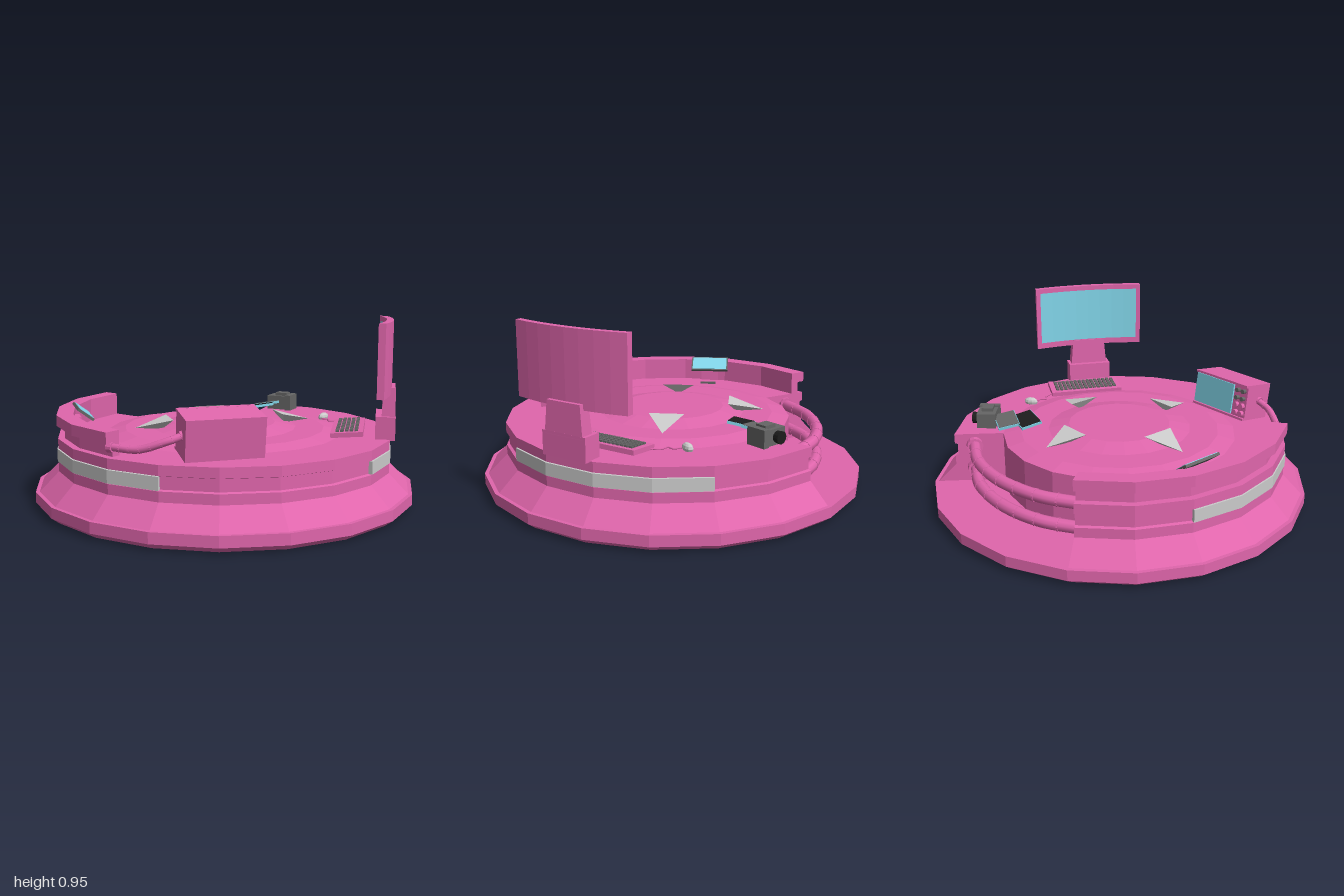
import * as THREE from 'three';
import { mergeGeometries } from 'three/addons/utils/BufferGeometryUtils.js';

const rad = THREE.MathUtils.degToRad;
const V = (x, y, z) => new THREE.Vector3(x, y, z);
const mat = (color, flatShading = true) =>
  new THREE.MeshStandardMaterial({ color, flatShading, side: THREE.DoubleSide });

const PINK = mat(0xe066ac), PINK_SMOOTH = mat(0xe066ac, false), GREY = mat(0xcccccc);
const SCREEN = mat(0x82d6ea), DARK = mat(0x666666), BLACK = mat(0x1c1c1c);

function add(parent, name, geometry, material, x = 0, y = 0, z = 0) {
  const mesh = new THREE.Mesh(geometry, material);
  mesh.name = name;
  mesh.position.set(x, y, z);
  parent.add(mesh);
  return mesh;
}
const box = (parent, name, w, h, d, material, x, y, z) =>
  add(parent, name, new THREE.BoxGeometry(w, h, d), material, x, y, z);

function subgroup(parent, name, x, y, z) {
  const g = new THREE.Group();
  g.name = name;
  g.position.set(x, y, z);
  parent.add(g);
  return g;
}

// Part of a 20-sided ring: closed profile swept from angle start, with end caps
function arcSolid(profile, start, length) {
  const pts = profile.map(p => new THREE.Vector2(...p));
  const sweep = new THREE.LatheGeometry([...pts, pts[0]], length / 18, rad(start), rad(length));
  const cap = a => new THREE.ShapeGeometry(new THREE.Shape(pts)).rotateY(rad(a - 90));
  return mergeGeometries([sweep, cap(start), cap(start + length)]);
}
const rect = (r0, r1, y0, y1) => [[r0, y0], [r1, y0], [r1, y1], [r0, y1]];

// Hose with collars at both ends and thin ribs between
function hose(parent, name, points, radius, ribs) {
  const g = subgroup(parent, name, 0, 0, 0);
  const curve = new THREE.CatmullRomCurve3(points);
  add(g, 'tube', new THREE.TubeGeometry(curve, 32, radius, 10), PINK_SMOOTH);
  for (let i = 0; i <= ribs; i++) {
    const end = i === 0 || i === ribs, t = i / ribs;
    const r = radius * (end ? 1.4 : 1.07);
    const ring = add(g, end ? 'collar' : 'rib',
      new THREE.CylinderGeometry(r, r, end ? radius * 1.6 : 0.008, 12), PINK);
    ring.position.copy(curve.getPointAt(t));
    ring.quaternion.setFromUnitVectors(V(0, 1, 0), curve.getTangentAt(t));
  }
}

// Bends a flat slab so its side edges come forward
function bend(geometry, k) {
  const p = geometry.attributes.position;
  for (let i = 0; i < p.count; i++) p.setZ(i, p.getZ(i) + k * p.getX(i) ** 2);
  geometry.computeVertexNormals();
  return geometry;
}

function buildPlatform(root) {
  const lathe = pts => new THREE.LatheGeometry(pts.map(p => new THREE.Vector2(...p)), 20);
  add(root, 'basePlate', lathe([[0, 0], [0.96, 0], [1, 0.03], [1, 0.085], [0, 0.085]]), PINK);
  add(root, 'steppedFloor', lathe([[0.62, 0.085], [0.62, 0.355], [0.53, 0.375],
    [0.38, 0.375], [0.27, 0.4], [0, 0.4]]), PINK);
  // Desk ring, open at the back
  add(root, 'deskRing', arcSolid([[0.62, 0.085], [0.98, 0.085], [0.88, 0.185], [0.88, 0.235],
    [0.865, 0.24], [0.865, 0.3], [0.88, 0.305], [0.88, 0.355], [0.62, 0.355]], -144, 288), PINK);
  for (const start of [36, -108])
    add(root, 'lightStrip', arcSolid(rect(0.85, 0.885, 0.238, 0.302), start, 72), GREY);
  // Raised wall on the right with an overhanging rail
  add(root, 'sideWall', arcSolid(rect(0.8, 0.845, 0.35, 0.42), -144, 90), PINK);
  add(root, 'sideRail', arcSolid(rect(0.8, 0.885, 0.42, 0.475), -144, 90), PINK);
  for (const y of [0.165, 0.295])
    hose(root, 'rearHose', [V(-0.45, y, -0.61), V(-0.25, y, -0.72), V(0, y, -0.765),
      V(0.25, y, -0.73), V(0.45, y, -0.63)], 0.031, 8);
}

// Four sloped arrow wedges pointing outward
function buildArrows(root) {
  const top = [[-0.09, 0.435, 0.3], [0.09, 0.435, 0.3], [0, 0.388, 0.485]];
  const low = [0, 0.375, 0.34];
  const tri = [top[0], top[2], top[1], top[0], top[1], low, top[1], top[2], low, top[2], top[0], low];
  for (let i = 0; i < 4; i++) {
    const g = new THREE.BufferGeometry();
    g.setAttribute('position', new THREE.Float32BufferAttribute(tri.flat(), 3));
    g.computeVertexNormals();
    add(root, 'floorArrow', g, GREY).rotation.y = i * Math.PI / 2;
  }
}

function buildMonitor(root, facing) {
  const m = subgroup(root, 'monitor', 0.76, 0, 0.393);
  m.rotation.y = facing;
  box(m, 'foot', 0.25, 0.12, 0.1, PINK, 0, 0.41, 0.01);
  const neck = new THREE.CylinderGeometry(0.135, 0.155, 0.16, 4, 1).rotateY(Math.PI / 4);
  add(m, 'neck', neck.scale(1, 1, 0.32), PINK, 0, 0.535, -0.005);
  add(m, 'screenCase', bend(new THREE.BoxGeometry(0.635, 0.365, 0.035, 8), 0.38), PINK, 0, 0.768, 0);
  add(m, 'screenPanel', bend(new THREE.PlaneGeometry(0.585, 0.305, 8, 1), 0.38), SCREEN, 0, 0.772, 0.02);
}

function buildKeyboard(root, facing) {
  const k = subgroup(root, 'keyboard', 0.61, 0.376, 0.245);
  k.rotation.set(0.08, facing, 0, 'YXZ');
  box(k, 'keyboardCase', 0.42, 0.024, 0.165, PINK, 0, 0, 0);
  const keys = [];
  for (let row = 0; row < 5; row++)
    for (let col = 0; col < 15; col++)
      keys.push(new THREE.BoxGeometry(0.018, 0.01, 0.017)
        .translate((col - 7) * 0.0245, 0.016, (row - 2) * 0.024));
  add(k, 'keys', mergeGeometries(keys), DARK);
  // Mouse and its wiggling cable
  const mouse = add(root, 'mouse', new THREE.SphereGeometry(0.04, 10, 6), GREY, 0.63, 0.368, -0.135);
  mouse.scale.set(1, 0.6, 0.55);
  mouse.rotation.y = 0.6;
  const cable = new THREE.CatmullRomCurve3([V(0.61, 0.362, -0.11), V(0.635, 0.362, -0.07),
    V(0.615, 0.362, -0.04), V(0.65, 0.362, -0.01), V(0.66, 0.368, 0.05)]);
  add(root, 'mouseCable', new THREE.TubeGeometry(cable, 16, 0.004, 5), PINK_SMOOTH);
}

// Leaning instrument whose screen faces the centre
function buildInstrument(root) {
  const b = subgroup(root, 'instrument', -0.212, 0.468, 0.65);
  b.rotation.x = 0.14;
  box(b, 'instrumentCase', 0.375, 0.195, 0.18, PINK, 0, 0, 0);
  for (const y of [-0.092, 0.092]) box(b, 'frontLip', 0.375, 0.012, 0.02, PINK, 0, y, -0.095);
  box(b, 'instrumentScreen', 0.275, 0.165, 0.016, SCREEN, 0.045, 0, -0.092);
  for (let i = 0; i < 4; i++)
    for (const x of [-0.165, -0.125]) {
      const r = i < 2 ? 0.012 : 0.016;
      const knob = new THREE.CylinderGeometry(r, r, 0.024, 10).rotateX(Math.PI / 2);
      add(b, 'knob', knob, i < 2 ? DARK : PINK, x, 0.062 - i * 0.042, -0.1);
    }
  hose(root, 'instrumentHose', [V(-0.39, 0.47, 0.665), V(-0.47, 0.445, 0.66),
    V(-0.58, 0.405, 0.6), V(-0.69, 0.4, 0.49)], 0.018, 7);
}

function buildGadgets(root) {
  // Tablet leaning on the side wall
  const t = subgroup(root, 'tablet', -0.73, 0.462, -0.155);
  t.rotation.z = -0.65;
  box(t, 'tabletBody', 0.1, 0.014, 0.22, DARK, 0, 0, 0);
  box(t, 'tabletScreen', 0.088, 0.004, 0.205, SCREEN, 0, 0.008, 0);
  box(root, 'tabletBracket', 0.06, 0.08, 0.1, PINK, -0.775, 0.4, -0.155);
  box(root, 'stylus', 0.01, 0.012, 0.09, DARK, -0.662, 0.362, -0.15);

  // Boxy camera
  const c = subgroup(root, 'camera', 0.51, 0.405, -0.5);
  c.rotation.y = -0.75;
  box(c, 'cameraBody', 0.14, 0.08, 0.1, DARK, 0, 0, 0);
  box(c, 'cameraTop', 0.07, 0.025, 0.06, DARK, 0.01, 0.045, 0);
  box(c, 'cameraGrip', 0.035, 0.09, 0.11, DARK, 0.06, 0.002, 0);
  add(c, 'cameraLens', new THREE.CylinderGeometry(0.028, 0.032, 0.04, 12).rotateX(Math.PI / 2),
    BLACK, -0.015, 0, -0.06);

  // Two loose handheld slates
  const slates = [[0.4, 0.405, -0.455, -0.4, DARK], [0.33, 0.408, -0.375, -0.2, BLACK]];
  for (const [x, y, z, turn, face] of slates) {
    const s = subgroup(root, 'slate', x, y, z);
    s.rotation.set(-0.15, turn, 0.1);
    box(s, 'slateBody', 0.145, 0.014, 0.115, SCREEN, 0, 0, 0);
    box(s, 'slateFace', 0.138, 0.004, 0.108, face, 0, 0.008, 0);
  }
}

export function createModel() {
  const root = new THREE.Group();
  root.name = 'controlStation';
  const facing = Math.atan2(-0.89, -0.46);
  buildPlatform(root);
  buildArrows(root);
  buildMonitor(root, facing);
  buildKeyboard(root, facing);
  buildInstrument(root);
  buildGadgets(root);
  return root;
}
